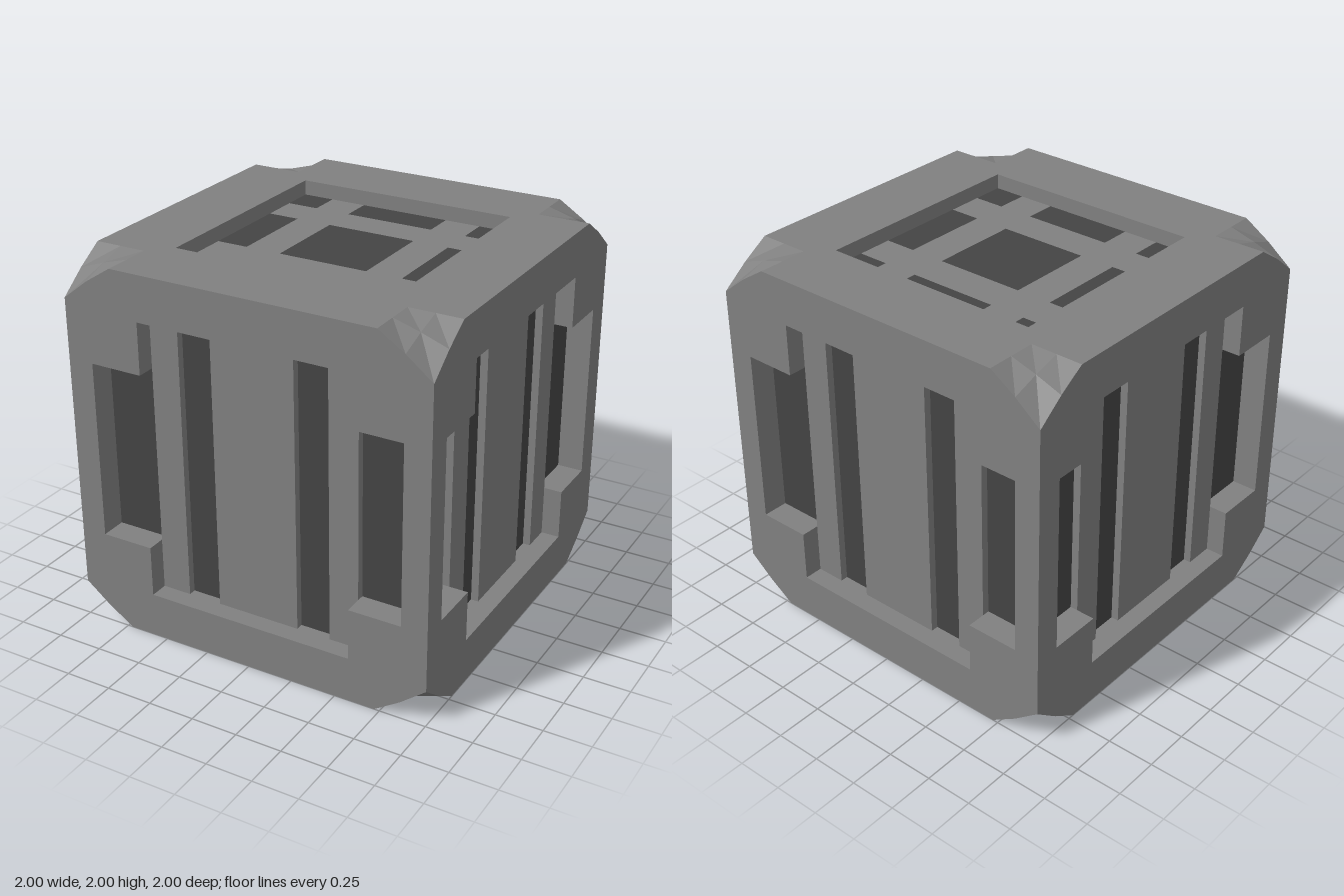
import * as THREE from 'three';

const body = new THREE.MeshStandardMaterial({ color: 0x808080, flatShading: true });
const dark = new THREE.MeshStandardMaterial({ color: 0x444444, flatShading: true });

const CUT = 0.72;        // where the worn corners begin
const SIDE_DEPTH = 0.14; // floor of the side recesses
const PANEL_DEPTH = 0.1; // front of the raised strips
const CAP_DEPTH = 0.08;  // floor of the top and bottom recesses

// How far a worn corner sinks; a and b run from 0 to 1 towards the corner
const sink = (a, b) => 0.2 * Math.pow(a * b, 1.15);

const toPoints = list => list.map(([x, y]) => new THREE.Vector2(x, y));

// Turns the points of one corner (counter-clockwise) into a four-sided outline
function fourCorners(corner) {
  const out = [];
  for (let k = 0; k < 4; k++) {
    const sx = k === 0 || k === 3 ? 1 : -1, sy = k < 2 ? 1 : -1;
    const quarter = corner.map(([x, y]) => [x * sx, y * sy]);
    out.push(...(k % 2 ? quarter.reverse() : quarter));
  }
  return out;
}

function add(group, name, geometry, material) {
  const mesh = new THREE.Mesh(geometry, material);
  mesh.name = name;
  group.add(mesh);
  return mesh;
}

// Flat outer face at z = 1 with a recess cut in it
function facePlate(outline, hole) {
  const shape = new THREE.Shape(toPoints(outline));
  shape.holes.push(new THREE.Path(toPoints(hole)));
  return new THREE.ShapeGeometry(shape).translate(0, 0, 1);
}

// Inward-facing walls running down from the hole edge
function recessWalls(hole, depth) {
  const pos = [], low = 1 - depth;
  hole.forEach(([px, py], i) => {
    const [qx, qy] = hole[(i + 1) % hole.length];
    pos.push(px, py, 1, qx, qy, 1, qx, qy, low);
    pos.push(px, py, 1, qx, qy, low, px, py, low);
  });
  const g = new THREE.BufferGeometry();
  g.setAttribute('position', new THREE.Float32BufferAttribute(pos, 3));
  g.computeVertexNormals();
  return g;
}

// One upright side: frame, cross-shaped recess and three vertical strips
function createSide() {
  const side = new THREE.Group();
  const mid = (1 + CUT) / 2;
  const outline = fourCorners([[1, 1 - sink(1, 1)], [mid, 1 - sink(0.5, 1)], [CUT, 1]]);
  const hole = fourCorners([[0.86, 0.48], [0.575, 0.48], [0.575, 0.757]]);
  add(side, 'sideFrame', facePlate(outline, hole), body);
  add(side, 'sideRecessWalls', recessWalls(hole, SIDE_DEPTH), body);
  add(side, 'sideRecessFloor',
    new THREE.ShapeGeometry(new THREE.Shape(toPoints(hole))).translate(0, 0, 1 - SIDE_DEPTH), dark);
  const thick = SIDE_DEPTH - PANEL_DEPTH;
  for (const [x, w] of [[-0.495, 0.16], [0, 0.46], [0.495, 0.16]]) {
    const strip = add(side, x ? 'narrowStrip' : 'centrePanel',
      new THREE.BoxGeometry(w, 1.514, thick), body);
    strip.position.set(x, 0, 1 - PANEL_DEPTH - thick / 2);
  }
  return side;
}

// Worn corner patch: a small grid sinking towards the tip
function wornCorner() {
  const size = 1 - CUT;
  const g = new THREE.PlaneGeometry(size, size, 2, 2).translate(CUT + size / 2, CUT + size / 2, 1);
  const p = g.attributes.position;
  for (let i = 0; i < p.count; i++) {
    const a = Math.max(0, (p.getX(i) - CUT) / size), b = Math.max(0, (p.getY(i) - CUT) / size);
    p.setZ(i, 1 - sink(a, b));
  }
  g.computeVertexNormals();
  return g;
}

// Top or bottom: frame, square recess with crossing bars, worn corners
function createCap() {
  const cap = new THREE.Group();
  const outline = fourCorners([[1, CUT], [CUT, CUT], [CUT, 1]]);
  const hole = fourCorners([[0.61, 0.61]]);
  add(cap, 'capFrame', facePlate(outline, hole), body);
  add(cap, 'capRecessWalls', recessWalls(hole, CAP_DEPTH), body);
  // Flush floor tiles: bars where either index is odd, dark squares elsewhere
  const cuts = [-0.61, -0.44, -0.245, 0.245, 0.44, 0.61];
  for (let i = 0; i < 5; i++) {
    for (let j = 0; j < 5; j++) {
      const bar = i % 2 || j % 2;
      const tile = add(cap, bar ? 'floorBar' : 'darkInset',
        new THREE.PlaneGeometry(cuts[i + 1] - cuts[i], cuts[j + 1] - cuts[j]), bar ? body : dark);
      tile.position.set((cuts[i] + cuts[i + 1]) / 2, (cuts[j] + cuts[j + 1]) / 2, 1 - CAP_DEPTH);
    }
  }
  for (let k = 0; k < 4; k++) {
    add(cap, 'wornCorner', wornCorner(), body).rotation.z = k * Math.PI / 2;
  }
  return cap;
}

export function createModel() {
  const model = new THREE.Group();
  model.name = 'crate';
  ['frontSide', 'leftSide', 'backSide', 'rightSide'].forEach((name, k) => {
    const side = createSide();
    side.name = name;
    side.rotation.y = k * Math.PI / 2;
    side.position.y = 1;
    model.add(side);
  });
  for (const [name, dir] of [['top', -1], ['bottom', 1]]) {
    const cap = createCap();
    cap.name = name;
    cap.rotation.x = dir * Math.PI / 2;
    cap.position.y = 1;
    model.add(cap);
  }
  return model;
}
